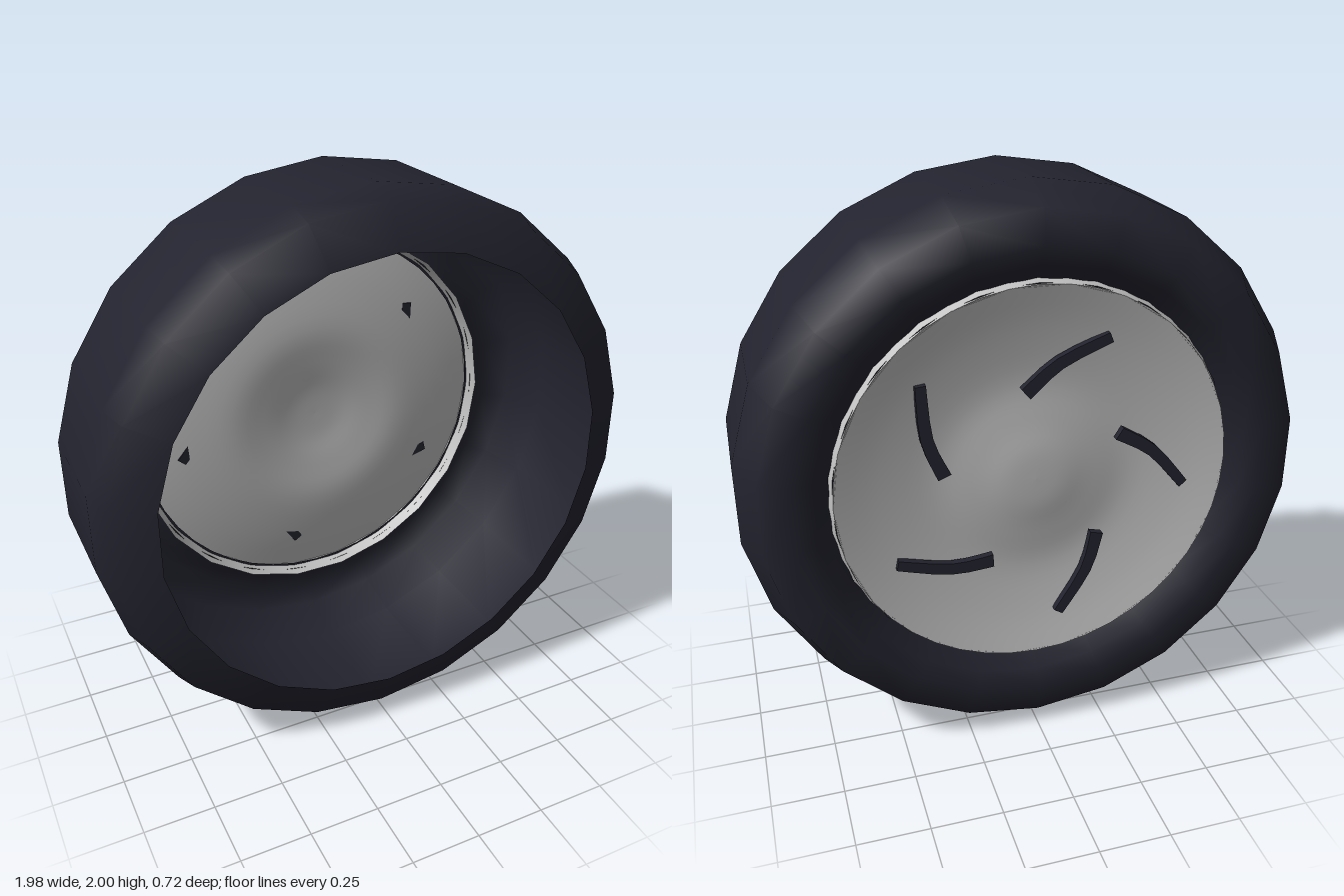
import * as THREE from 'three';

const rubber = new THREE.MeshStandardMaterial({ color: 0x23232f, side: THREE.DoubleSide });
rubber.name = 'dark rubber';
const silver = new THREE.MeshStandardMaterial({ color: 0xc2c2c2, side: THREE.DoubleSide });
silver.name = 'silver metal';

const SIDES = 22;

// Revolve a profile of [radius, z] points around the z axis
function revolve(name, profile, sides, material, spin = 0) {
  const geometry = new THREE.LatheGeometry(profile.map(([r, z]) => new THREE.Vector2(r, z)), sides);
  geometry.rotateX(Math.PI / 2);
  geometry.rotateZ(spin);
  const mesh = new THREE.Mesh(geometry, material);
  mesh.name = name;
  return mesh;
}

// Curved blade outline swept along a short arc, narrowing to its outer end
function bladeShape() {
  const curve = new THREE.SplineCurve([
    new THREE.Vector2(0.32, 0.06), new THREE.Vector2(0.375, 0.2), new THREE.Vector2(0.39, 0.39),
  ]);
  const near = [], far = [];
  for (let i = 0; i <= 6; i++) {
    const t = i / 6;
    const p = curve.getPoint(t), d = curve.getTangent(t);
    const half = 0.024 - 0.006 * t;
    near.push(new THREE.Vector2(p.x + d.y * half, p.y - d.x * half));
    far.unshift(new THREE.Vector2(p.x - d.y * half, p.y + d.x * half));
  }
  return new THREE.Shape([...near, ...far]);
}

export function createModel() {
  const wheel = new THREE.Group();
  wheel.name = 'wheel';

  // Hollow tyre, open at the front
  wheel.add(revolve('tyre', [
    [0.705, -0.285], [0.76, -0.335], [0.82, -0.36], [0.935, -0.345], [1, -0.195],
    [1, 0.2], [0.965, 0.3], [0.82, 0.36],
  ], SIDES, rubber));

  // Thin rim band, turned half a side against the tyre
  wheel.add(revolve('rim', [[0.692, -0.315], [0.715, -0.265]], SIDES, silver, Math.PI / SIDES));

  // Dished wheel cover with a raised centre
  const dish = new THREE.SplineCurve([
    [0, -0.29], [0.1, -0.287], [0.22, -0.273], [0.36, -0.264], [0.54, -0.285], [0.692, -0.315],
  ].map(([r, z]) => new THREE.Vector2(r, z)));
  wheel.add(revolve('wheelCover', dish.getPoints(20).map((p) => [Math.max(p.x, 0), p.y]), 44, silver));

  // Dark seam around the inside of the cover
  wheel.add(revolve('seam', [[0.684, -0.304], [0.694, -0.304]], 44, rubber));

  // Five curved blades, their outer tips passing through the cover
  const bladeGeometry = new THREE.ExtrudeGeometry(bladeShape(), { depth: 0.026, bevelEnabled: false });
  bladeGeometry.translate(0, 0, -0.308);
  for (let i = 0; i < 5; i++) {
    const blade = new THREE.Mesh(bladeGeometry, rubber);
    blade.name = 'blade' + (i + 1);
    blade.rotation.z = (i * Math.PI * 2) / 5;
    wheel.add(blade);
  }

  // Stand the wheel on the ground
  wheel.position.y = 1;
  const model = new THREE.Group();
  model.name = 'wheelModel';
  model.add(wheel);
  return model;
}
